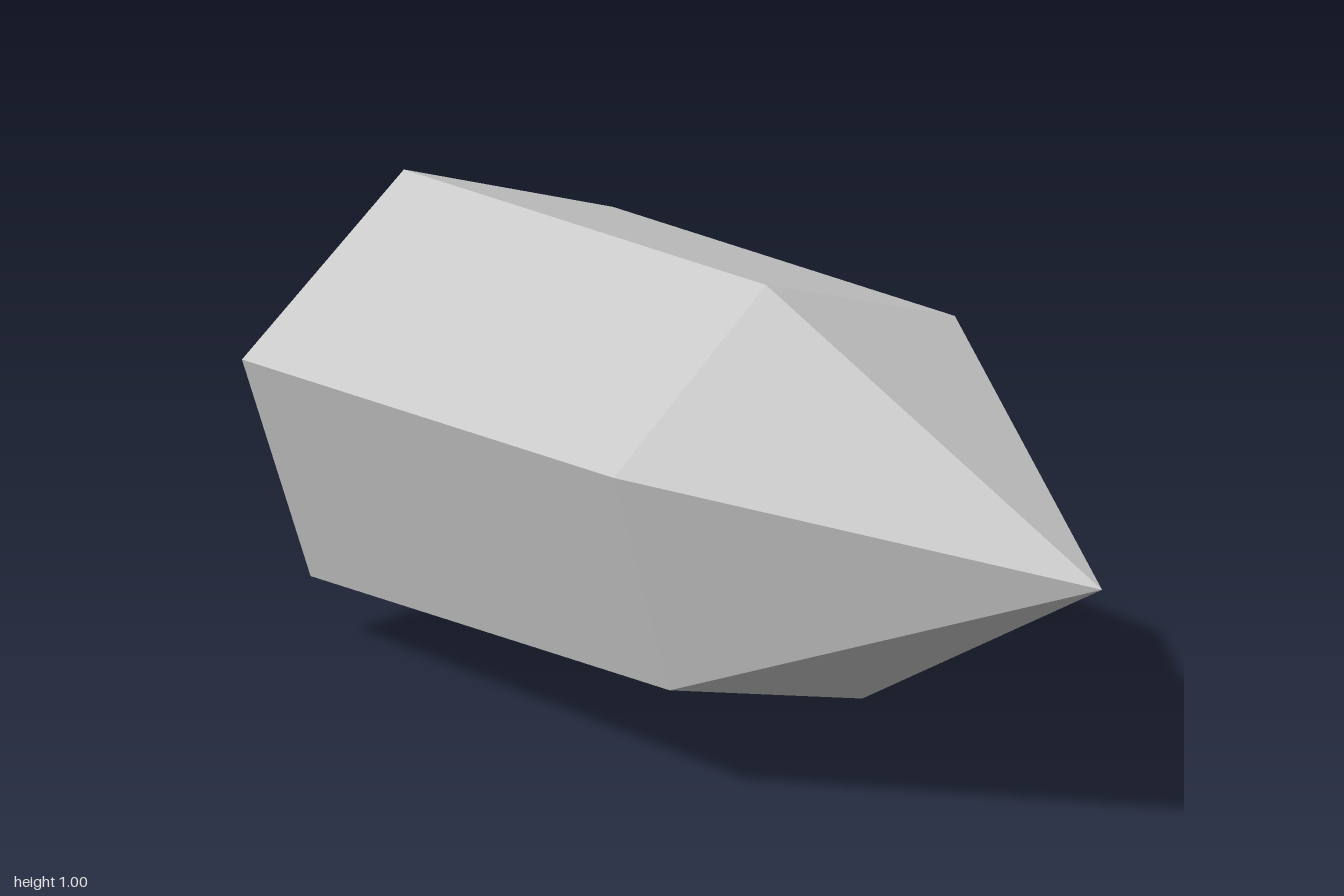
import * as THREE from 'three';

export function createModel() {
  const group = new THREE.Group();
  group.name = 'crystal';
  const stone = new THREE.MeshStandardMaterial({ color: 0xc8c8c8 });
  stone.name = 'grey stone';

  // Leaning frame: axis runs from base centre to tip, the other two span the slightly squashed hexagon
  const base = new THREE.Vector3(-0.952, 0.5, -0.01);
  const axis = new THREE.Vector3(1.95, 0.055, 0.156);
  const across = new THREE.Vector3(-0.04, -0.113, 0.555);
  const up = new THREE.Vector3(-0.025, 0.499, 0.128);
  const frame = new THREE.Matrix4().makeBasis(across, axis, up).setPosition(base);

  const shoulder = 0.613; // fraction of the length where the point begins
  const taper = 0.86;     // shoulder size relative to the base

  function addPart(name, top, bottom, from, to, open) {
    const geometry = new THREE.CylinderGeometry(top, bottom, to - from, 6, 1, open)
      .translate(0, (from + to) / 2, 0)
      .applyMatrix4(frame)
      .toNonIndexed();
    geometry.computeVertexNormals(); // flat facets
    const mesh = new THREE.Mesh(geometry, stone);
    mesh.name = name;
    group.add(mesh);
  }

  // Six-sided shaft with a closed base
  addPart('shaft', taper, 1, 0, shoulder, false);
  // Six-sided point
  addPart('point', 0, taper, shoulder, 1, true);

  return group;
}
